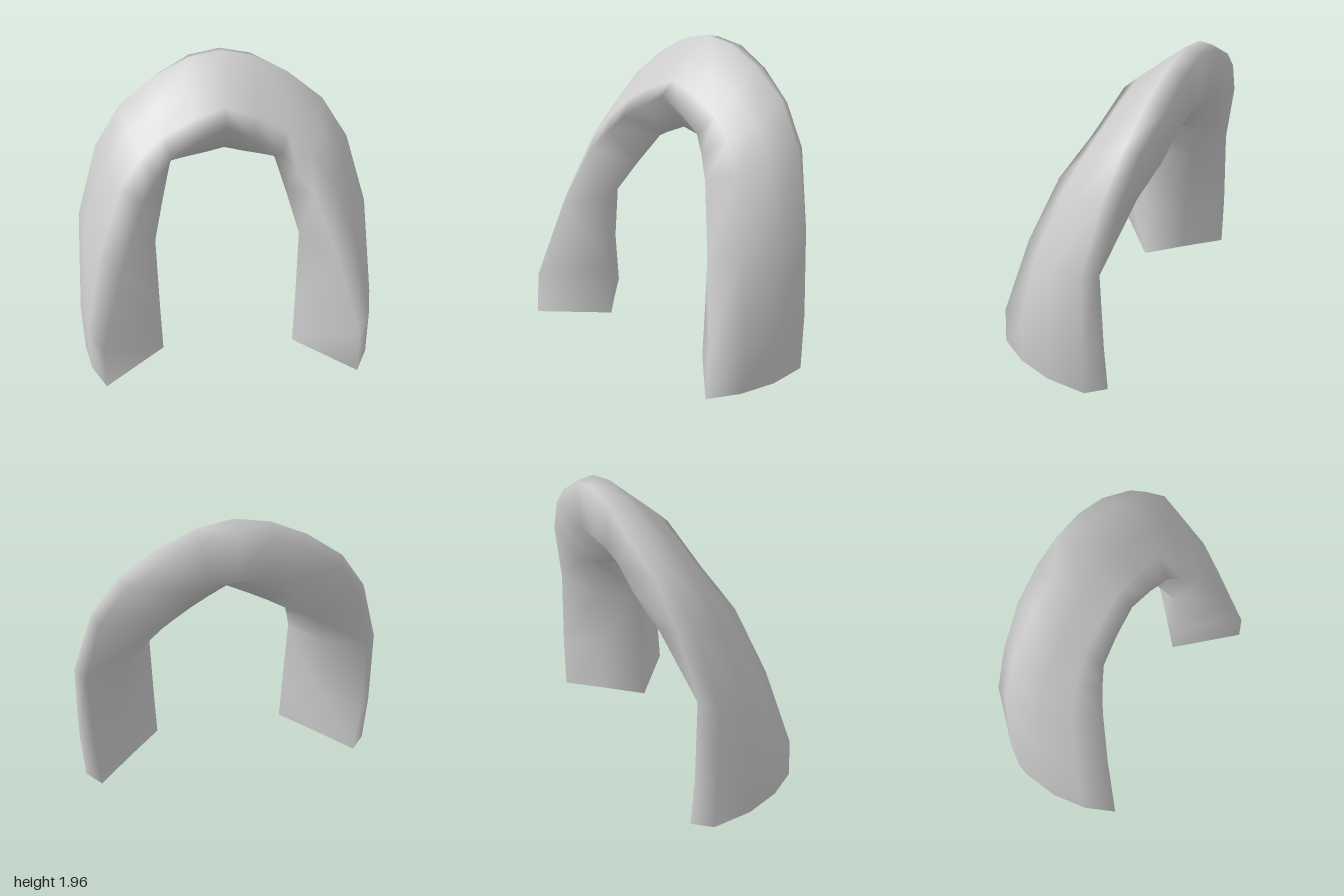
import * as THREE from 'three';

// Lengthwise rails of one half, from foot to crown: [x, y, z]
const inner = [[.45, 0, .11], [.46, .36, .1], [.47, .85, .07], [.405, 1.07, -.11],
  [.345, 1.25, -.27], [.24, 1.295, -.23], [.12, 1.34, -.19], [0, 1.385, -.16]];
const frontRidge = [[.83, 0, .475], [.83, .28, .455], [.69, .79, .33], [.53, 1.2, .19],
  [.43, 1.33, .12], [.34, 1.43, .068], [.17, 1.53, .045], [0, 1.61, .035]];
const outer = [[.98, 0, -.22], [.99, .36, -.22], [.97, .91, -.22], [.83, 1.37, -.29],
  [.66, 1.63, -.33], [.43, 1.81, -.35], [.21, 1.92, -.36], [0, 1.96, -.36]];
const backRidge = [[.88, 0, -.33], [.9, .36, -.32], [.9, .9, -.3], [.79, 1.35, -.38],
  [.63, 1.6, -.42], [.41, 1.78, -.465], [.2, 1.9, -.475], [0, 1.94, -.475]];
const backHollow = [[.67, 0, -.11], [.68, .36, -.11], [.66, .85, -.15], [.51, 1.2, -.33],
  [.4, 1.42, -.43], [.28, 1.57, -.465], [.15, 1.61, -.47], [0, 1.62, -.47]];

// Bulging point between the front ridge and the outer rail
function bulge(i, t) {
  const [x, y, z] = frontRidge[i].map((v, k) => v + (outer[i][k] - v) * t);
  return [x * 1.06, y * .985, z + .035];
}

// Closed cross-section at one station
function section(i) {
  return [inner[i], frontRidge[i], bulge(i, .33), bulge(i, .67), outer[i], backRidge[i], backHollow[i]];
}

function archGeometry() {
  // Stations up the left leg, then mirrored down the right one
  const half = inner.map((_, i) => section(i));
  const mirrored = half.slice(0, -1).reverse().map(s => s.map(([x, y, z]) => [-x, y, z]));
  const rings = [...half, ...mirrored];
  const n = rings[0].length;
  const index = [];
  for (let r = 0; r < rings.length - 1; r++) {
    for (let j = 0; j < n; j++) {
      const a = r * n + j, b = r * n + (j + 1) % n;
      // Mirror the diagonals as well
      if (r < half.length - 1) index.push(a, b, b + n, a, b + n, a + n);
      else index.push(a, b, a + n, b, b + n, a + n);
    }
  }
  const geometry = new THREE.BufferGeometry();
  geometry.setAttribute('position', new THREE.Float32BufferAttribute(rings.flat(2), 3));
  geometry.setIndex(index);
  geometry.computeVertexNormals();
  return geometry;
}

export function createModel() {
  const group = new THREE.Group();
  group.name = 'leaningArch';
  // Hollow shell, open at both feet
  const material = new THREE.MeshStandardMaterial({ color: 0xcccccc, side: THREE.DoubleSide });
  const arch = new THREE.Mesh(archGeometry(), material);
  arch.name = 'archShell';
  group.add(arch);
  return group;
}
